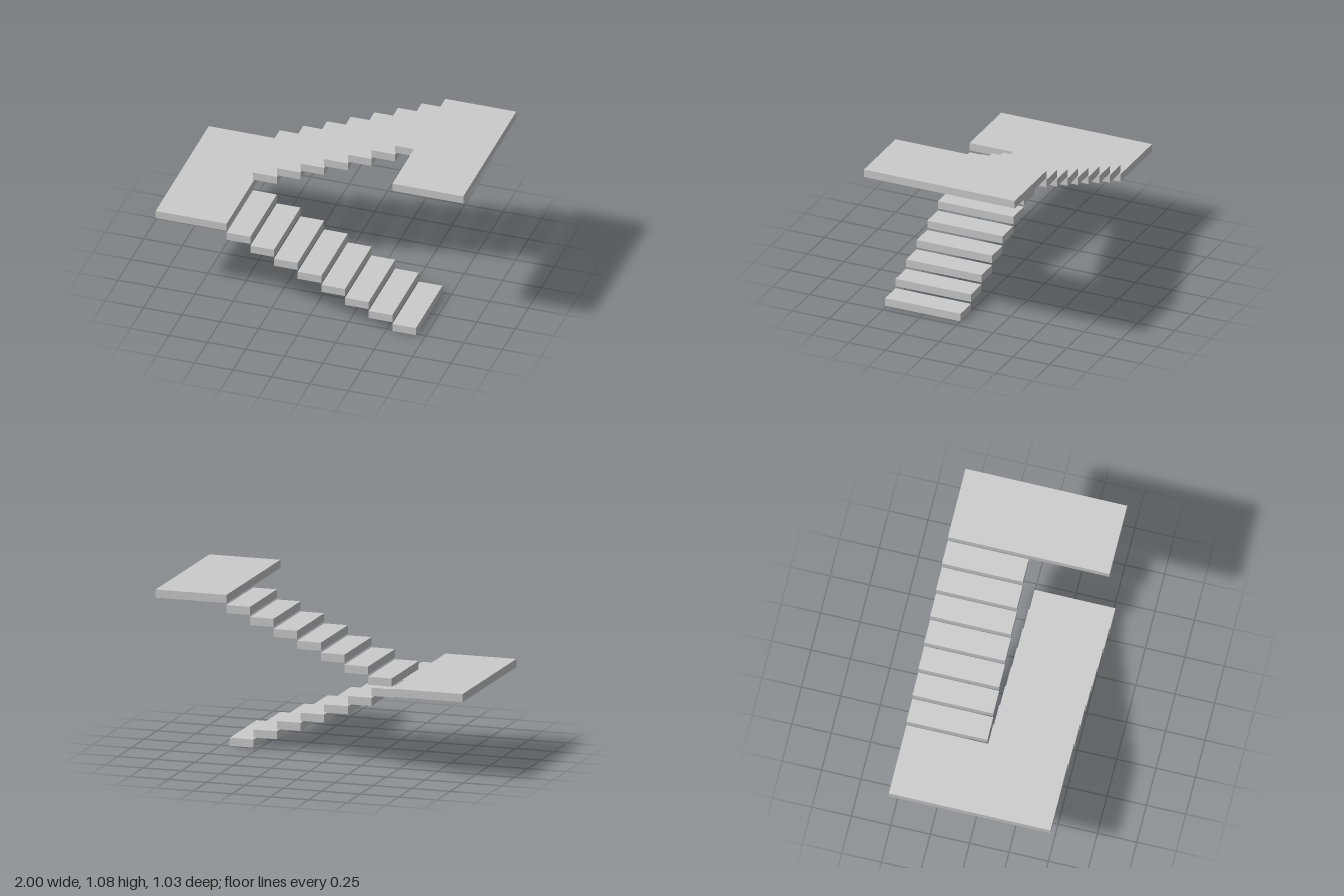
import * as THREE from 'three';

const GOING = 2 / 13;          // depth of one tread
const RISE = 0.0641;           // height from tread to tread
const THICK = 0.0513;          // slab thickness
const WIDTH = 0.513;           // width of one flight
const FLIGHT_STEPS = 7;        // treads between the two landings
const EDGE = FLIGHT_STEPS * GOING / 2; // inner edge of each landing

export function createModel() {
  const model = new THREE.Group();
  model.name = 'staircase';
  const material = new THREE.MeshStandardMaterial({ color: 0xcccccc, flatShading: true });

  // One slab, starting at x0, raised by a number of rises
  function addSlab(parent, name, x0, length, level, width, z) {
    const mesh = new THREE.Mesh(new THREE.BoxGeometry(length, THICK, width), material);
    mesh.position.set(x0 + length / 2, level * RISE + THICK / 2, z);
    mesh.name = name;
    parent.add(mesh);
  }

  // Lower flight at the front, climbing toward -x
  const lower = new THREE.Group();
  lower.name = 'lowerFlight';
  for (let i = 0; i <= FLIGHT_STEPS; i++) {
    addSlab(lower, `lowerStep${i + 1}`, EDGE - i * GOING, GOING, i, WIDTH, WIDTH / 2);
  }

  // Upper flight at the back, climbing toward +x
  const upper = new THREE.Group();
  upper.name = 'upperFlight';
  for (let i = 0; i < FLIGHT_STEPS; i++) {
    addSlab(upper, `upperStep${i + 1}`, -EDGE + i * GOING, GOING, FLIGHT_STEPS + 2 + i, WIDTH, -WIDTH / 2);
  }
  model.add(lower, upper);

  // Landings span both flights
  addSlab(model, 'middleLanding', -1, 1 - EDGE, FLIGHT_STEPS + 1, WIDTH * 2, 0);
  addSlab(model, 'topLanding', EDGE, 1 - EDGE, 2 * FLIGHT_STEPS + 2, WIDTH * 2, 0);
  return model;
}
